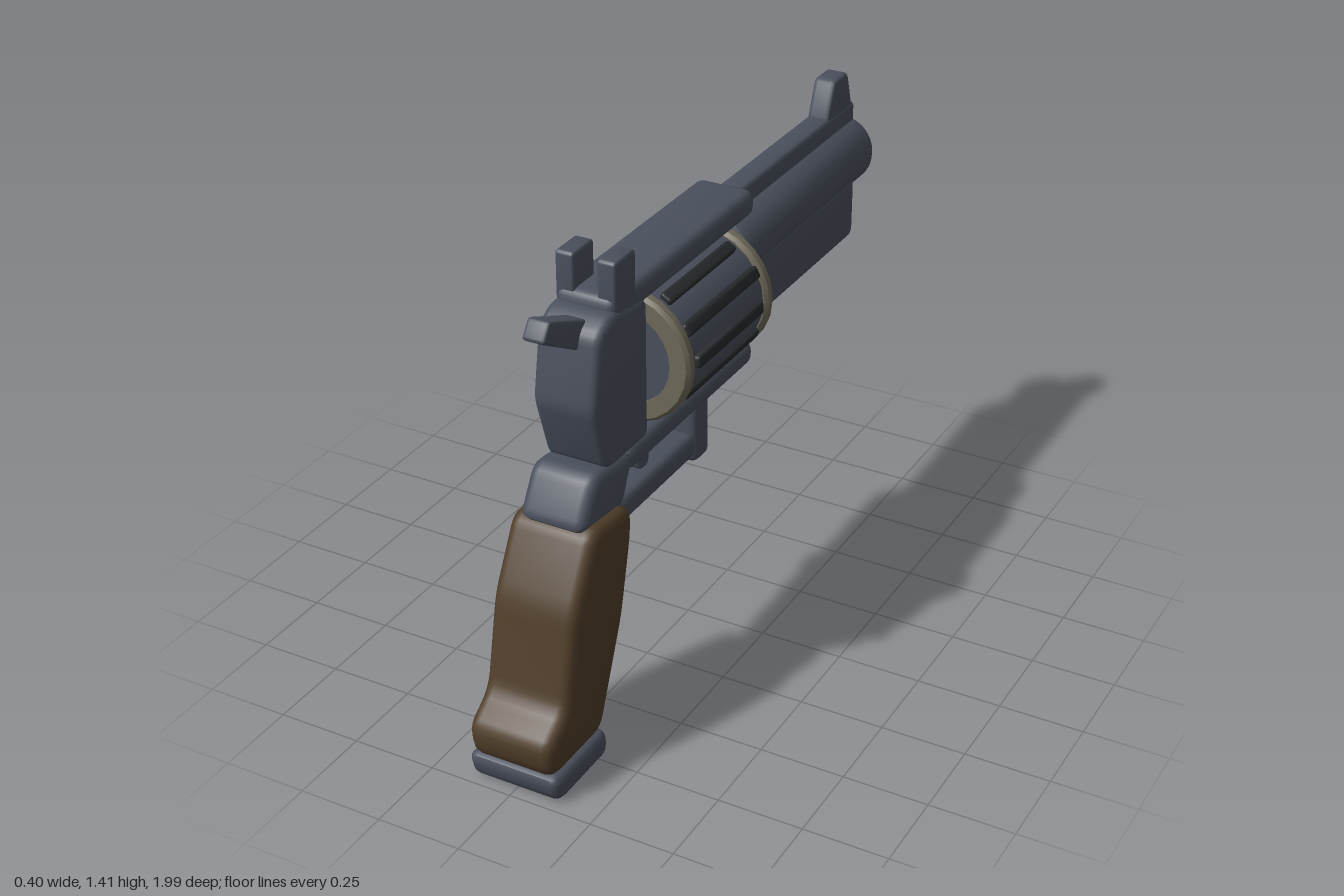
import * as THREE from 'three';
import { toCreasedNormals } from 'three/addons/utils/BufferGeometryUtils.js';

const material = (name, color) => {
  const m = new THREE.MeshStandardMaterial({ color });
  m.name = name;
  return m;
};

// Closed outline with every corner rounded by r
function roundedOutline(points, r) {
  const shape = new THREE.Shape();
  const v = points.map(([a, b]) => new THREE.Vector2(a, b));
  v.forEach((p, i) => {
    const prev = v[(i + v.length - 1) % v.length];
    const next = v[(i + 1) % v.length];
    const toward = (q) => {
      const d = q.clone().sub(p);
      return p.clone().addScaledVector(d, Math.min(r / d.length(), 0.45));
    };
    const a = toward(prev), b = toward(next);
    if (i === 0) shape.moveTo(a.x, a.y);
    else shape.lineTo(a.x, a.y);
    shape.quadraticCurveTo(p.x, p.y, b.x, b.y);
  });
  shape.closePath();
  return shape;
}

// Side profile in (z, y), extruded symmetrically along x with soft edges
function profileGeometry(points, width, bevel) {
  const geo = new THREE.ExtrudeGeometry(roundedOutline(points, bevel * 1.4), {
    depth: width - 2 * bevel, curveSegments: 4, bevelEnabled: true,
    bevelThickness: bevel, bevelSize: bevel, bevelOffset: -bevel, bevelSegments: 3,
  });
  geo.translate(0, 0, bevel - width / 2);
  geo.rotateY(-Math.PI / 2);
  return toCreasedNormals(geo, 0.6);
}

const rect = (z0, z1, y0, y1) => [[z0, y0], [z1, y0], [z1, y1], [z0, y1]];

// Solid of revolution along z; points are (radius, z)
function turned(points, sides) {
  const geo = new THREE.LatheGeometry(points.map(([r, z]) => new THREE.Vector2(r, z)), sides);
  geo.rotateX(Math.PI / 2);
  return toCreasedNormals(geo, 0.6);
}

export function createModel() {
  const steel = material('steel', 0x4a505c);
  const dark = material('dark steel', 0x272a2d);
  const ring = material('worn brass', 0x6f6a5a);
  const wood = material('walnut', 0x503e2a);

  const model = new THREE.Group();
  model.name = 'revolver';
  const add = (name, geo, mat, parent = model) => {
    const mesh = new THREE.Mesh(geo, mat);
    mesh.name = name;
    parent.add(mesh);
    return mesh;
  };
  const plate = (name, pts, width, bevel, mat = steel) =>
    add(name, profileGeometry(pts, width, bevel), mat);

  // Frame
  plate('recoilBlock', [[0.39, 0.83], [0.61, 0.83], [0.675, 1.03], [0.64, 1.24],
    [0.57, 1.28], [0.39, 1.25]], 0.19, 0.022);
  plate('topStrap', rect(-0.23, 0.56, 1.23, 1.31), 0.18, 0.025);
  plate('bottomStrap', rect(-0.23, 0.49, 0.76, 0.835), 0.18, 0.025);
  plate('neck', [[0.68, 0.855], [0.47, 0.83], [0.535, 0.68], [0.765, 0.71]], 0.2, 0.03);

  // Grip
  plate('grip', [[0.74, 0.725], [0.54, 0.705], [0.54, 0.62], [0.595, 0.385], [0.72, 0.08],
    [0.985, 0.08], [1.0, 0.19], [0.905, 0.25], [0.85, 0.52]], 0.26, 0.032, wood);
  plate('gripBase', [[0.71, 0], [0.97, 0], [0.99, 0.085], [0.71, 0.085]], 0.28, 0.025);

  // Trigger and guard
  plate('guardBar', rect(0.03, 0.58, 0.565, 0.645), 0.09, 0.022);
  plate('guardPost', rect(-0.04, 0.05, 0.545, 0.84), 0.1, 0.022);
  plate('trigger', [[0.35, 0.79], [0.26, 0.79], [0.28, 0.665], [0.325, 0.665]], 0.06, 0.012);

  // Hammer and sights
  plate('hammer', [[0.81, 1.285], [0.775, 1.335], [0.55, 1.24], [0.55, 1.14]], 0.066, 0.008);
  for (const side of [-1, 1]) {
    plate(side < 0 ? 'rearSightRight' : 'rearSightLeft',
      rect(0.445, 0.55, 1.27, 1.41), 0.056, 0.008).position.x = side * 0.062;
  }
  plate('frontSight', [[-0.8, 1.27], [-0.85, 1.397], [-0.94, 1.397], [-0.98, 1.27]], 0.07, 0.012);

  // Barrel with open bore, rib and underlug
  add('barrel', turned([[0, -0.86], [0.05, -0.86], [0.05, -0.988], [0.06, -1], [0.085, -1],
    [0.1, -0.992], [0.107, -0.975], [0.107, -0.185], [0.1, -0.168], [0.085, -0.16], [0, -0.16]], 32),
  steel).position.y = 1.13;
  plate('barrelRib', rect(-0.99, -0.15, 1.2, 1.29), 0.075, 0.015);
  plate('underlug', rect(-0.89, -0.165, 0.89, 1.1), 0.19, 0.028);

  // Rotating drum with end rings and flutes
  const drum = new THREE.Group();
  drum.name = 'drum';
  drum.position.y = 1.035;
  model.add(drum);
  add('drumBody', turned([[0, -0.12], [0.186, -0.12], [0.186, 0.35], [0, 0.35]], 24), steel, drum);
  for (const [name, z] of [['frontRing', -0.115], ['rearRing', 0.34]]) {
    const h = 0.021;
    add(name, turned([[0.14, z + h], [0.14, z - h], [0.19, z - h], [0.2, z - h / 2],
      [0.2, z + h / 2], [0.19, z + h], [0.14, z + h]], 24), ring, drum);
  }
  for (let i = 0; i < 12; i++) {
    const angle = (i * Math.PI) / 6;
    const length = i % 2 ? 0.41 : 0.375;
    const geo = profileGeometry(rect(0.115 - length / 2, 0.115 + length / 2, -0.019, 0.019), 0.03, 0.008);
    const flute = add('flute', geo, dark, drum);
    flute.position.set(0.186 * Math.cos(angle), 0.186 * Math.sin(angle), 0);
    flute.rotation.z = angle;
  }
  return model;
}
